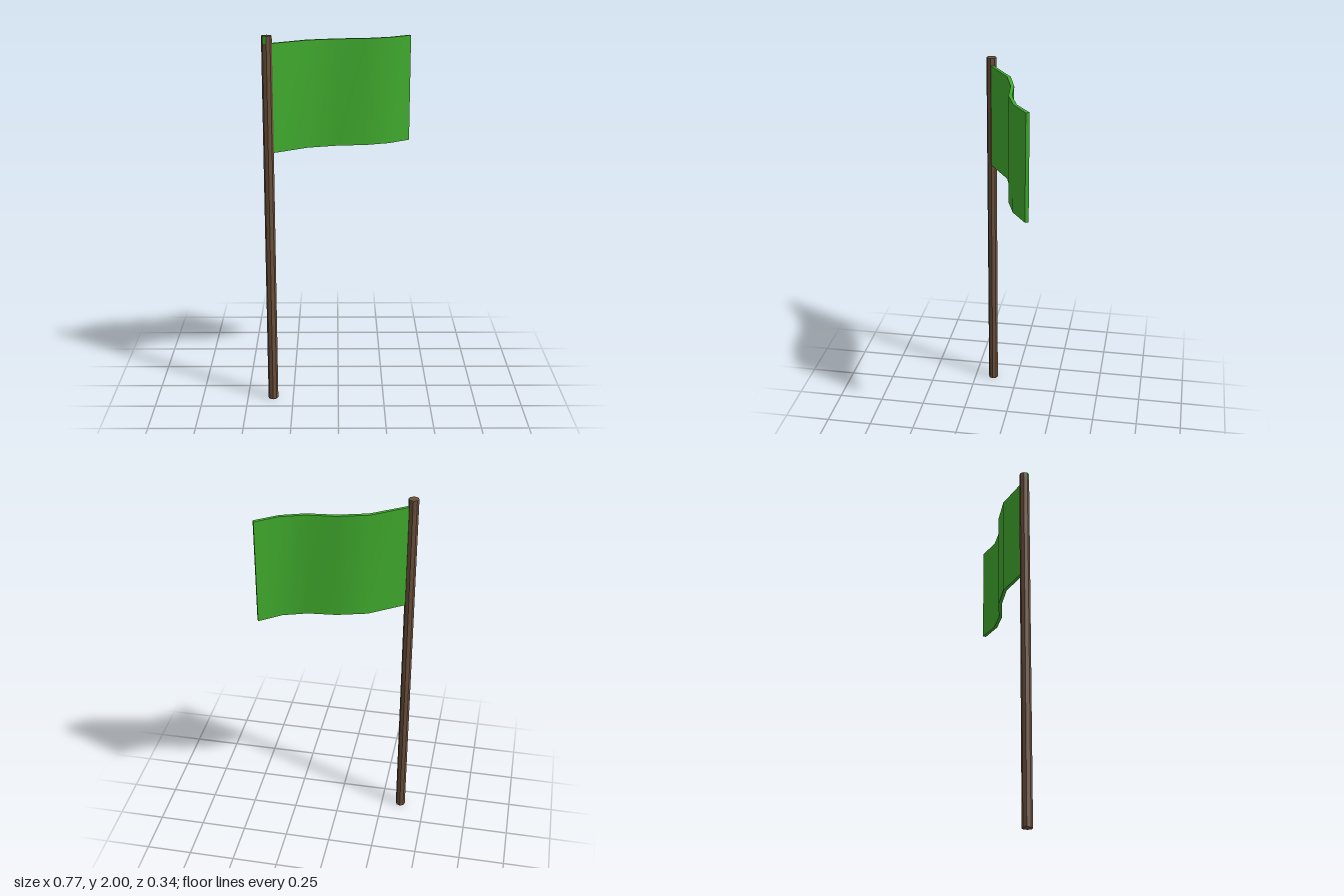
import * as THREE from 'three';
import { mergeGeometries } from 'three/addons/utils/BufferGeometryUtils.js';

// Surface between two rails of points; facing side is a -> along -> b counter-clockwise
function strip(a, b) {
  const g = new THREE.BufferGeometry();
  const index = [];
  for (let i = 0; i < a.length - 1; i++) {
    const n = a.length;
    index.push(i, i + 1, n + i + 1, i, n + i + 1, n + i);
  }
  g.setAttribute('position', new THREE.Float32BufferAttribute([...a, ...b].flat(), 3));
  g.setIndex(index);
  g.computeVertexNormals();
  return g;
}

export function createModel() {
  const group = new THREE.Group();
  const wood = new THREE.MeshStandardMaterial({ color: 0x6b503b });
  wood.name = 'brown wood';
  const cloth = new THREE.MeshStandardMaterial({ color: 0x40ab2d });
  cloth.name = 'green cloth';
  wood.flatShading = true;

  const add = (name, geometry, material) => {
    const mesh = new THREE.Mesh(geometry, material);
    mesh.name = name;
    group.add(mesh);
    return mesh;
  };

  // Octagonal pole with corners on the axes
  const px = -0.36, pz = 0.143, r = 0.027;
  add('pole', new THREE.CylinderGeometry(r, r, 2, 8), wood).position.set(px, 1, pz);

  // Green facet at the top of the pole, front right
  const c = r * Math.SQRT1_2, o = 0.0006;
  const facet = (y) => [[px - c - o, y, pz + c + o], [px, y, pz + r + o]];
  add('poleTopFacet', strip(facet(1.96), facet(2)), cloth);

  // Waving flag: front and back outlines in plan [x, z]
  const front = [[-0.352, 0.153], [-0.159, 0.025], [-0.004, -0.019], [0.147, -0.033], [0.273, -0.076], [0.385, -0.155]];
  const back = [[-0.362, 0.14], [-0.162, 0.006], [-0.006, -0.037], [0.144, -0.051], [0.27, -0.093], [0.377, -0.172]];
  const low = 1.395, high = 1.96;
  const at = (path, y) => path.map(([x, z]) => [x, y, z]);
  const wall = (path) => strip(at(path, low), at(path, high));
  const last = front.length - 1;
  add('flag', mergeGeometries([
    wall(front),
    wall([front[last], back[last]]),
    wall([...back].reverse()),
    wall([back[0], front[0]]),
    strip(at(front, high), at(back, high)),
    strip(at(back, low), at(front, low)),
  ]), cloth);

  return group;
}
